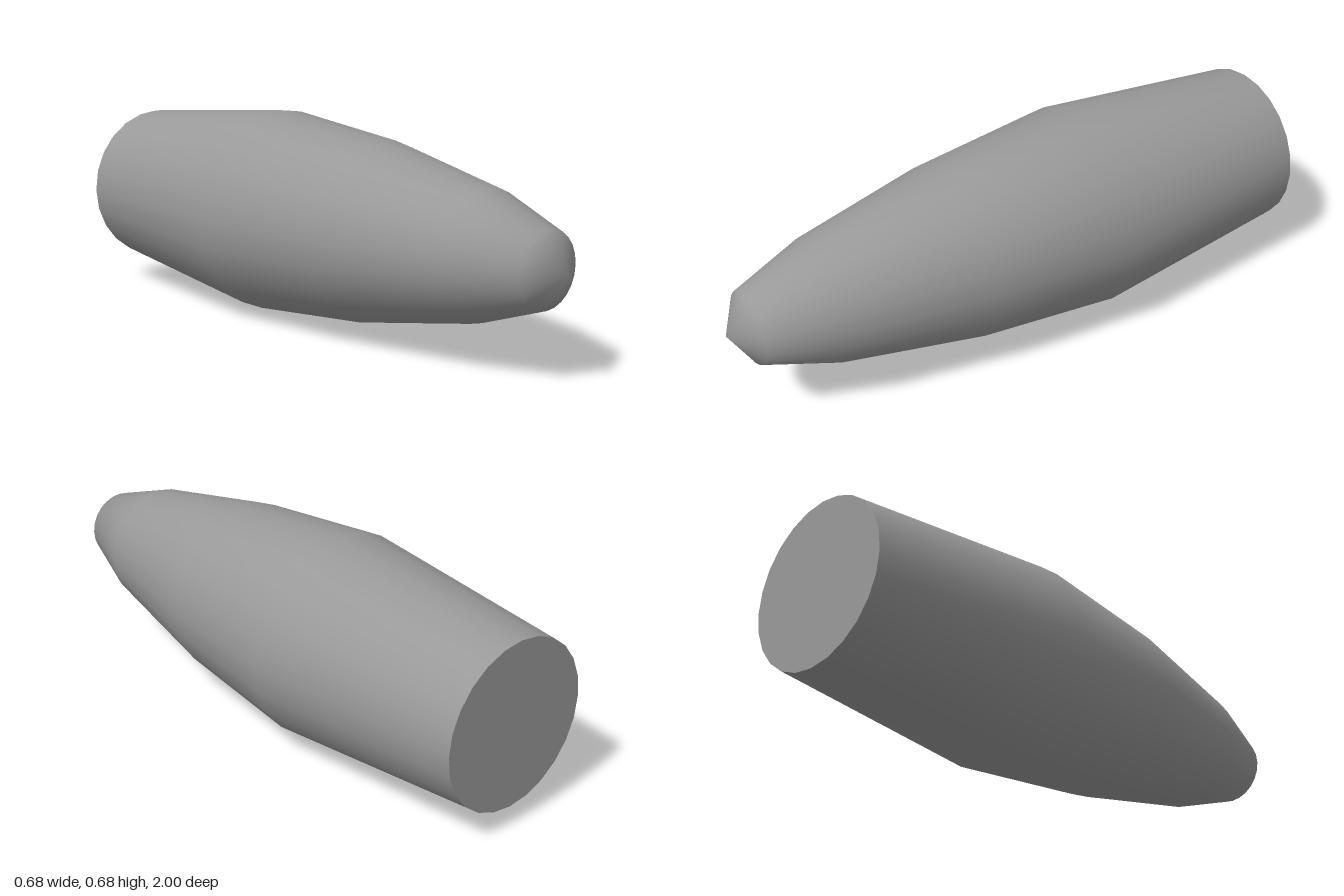
import * as THREE from 'three';

const SIDES = 24;
const RADIUS = 0.339;

// [position along z, radius] from the flat base to the pointed nose
const PROFILE = [
  [-1, 0.269],
  [-0.265, RADIUS],
  [0.22, 0.292],
  [0.678, 0.204],
  [0.927, 0.118],
  [1, 0],
];

// Forward tilt of each profile segment's normal, and their mean at each point
const tilts = PROFILE.slice(1).map(([z, r], i) => Math.atan2(PROFILE[i][1] - r, z - PROFILE[i][0]));
const pointTilts = PROFILE.map((_, i) => {
  if (i === 0) return tilts[0];
  if (i === tilts.length) return Math.PI / 2;
  return (tilts[i - 1] + tilts[i]) / 2;
});

// Lathed shell with evenly averaged normals and a rounded-looking tip
function shellGeometry() {
  const points = PROFILE.map(([z, r]) => new THREE.Vector2(r, z));
  const shell = new THREE.LatheGeometry(points, SIDES);
  const { normal } = shell.attributes;
  for (let i = 0; i < normal.count; i++) {
    const tilt = pointTilts[i % PROFILE.length];
    const phi = (Math.floor(i / PROFILE.length) / SIDES) * Math.PI * 2;
    normal.setXYZ(i, Math.sin(phi) * Math.cos(tilt), Math.sin(tilt), Math.cos(phi) * Math.cos(tilt));
  }
  return shell.rotateX(Math.PI / 2);
}

export function createModel() {
  const group = new THREE.Group();
  group.name = 'bullet';
  const material = new THREE.MeshStandardMaterial({ color: 0x999999 });

  // Tapered body
  const body = new THREE.Mesh(shellGeometry(), material);
  body.name = 'body';
  body.position.y = RADIUS;

  // Flat disc closing the back
  const base = new THREE.Mesh(new THREE.CircleGeometry(PROFILE[0][1], SIDES), material);
  base.name = 'base';
  base.rotation.y = Math.PI;
  base.position.set(0, RADIUS, PROFILE[0][0]);

  group.add(body, base);
  return group;
}
